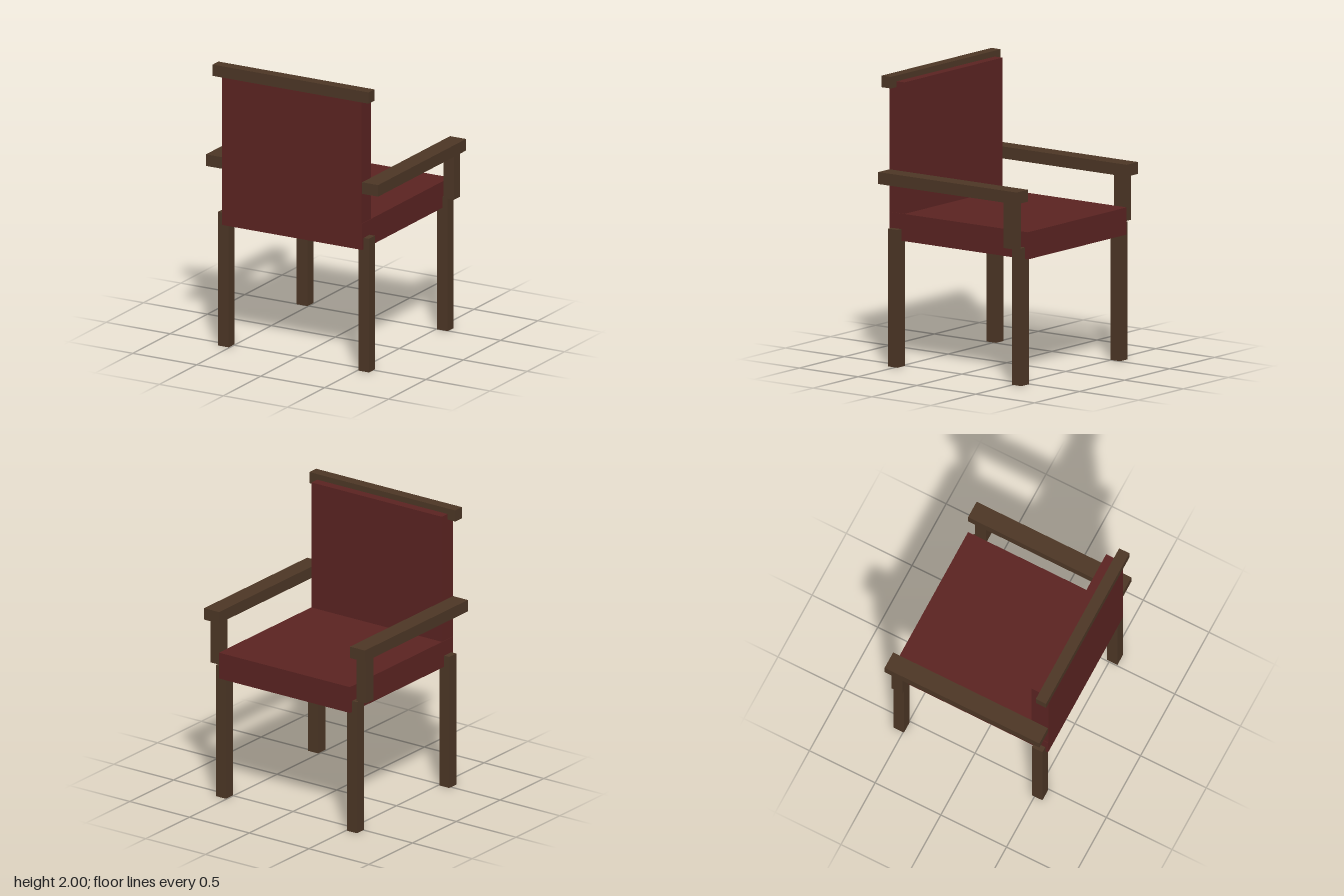
import * as THREE from 'three';

const wood = new THREE.MeshStandardMaterial({ color: 0x4c3625 });
const fabric = new THREE.MeshStandardMaterial({ color: 0x5a2321 });

// Box given by its [min, max] range on each axis
function block(name, material, [x0, x1], [y0, y1], [z0, z1]) {
  const mesh = new THREE.Mesh(new THREE.BoxGeometry(x1 - x0, y1 - y0, z1 - z0), material);
  mesh.position.set((x0 + x1) / 2, (y0 + y1) / 2, (z0 + z1) / 2);
  mesh.name = name;
  return mesh;
}

export function createModel() {
  const chair = new THREE.Group();
  chair.name = 'armchair';

  // Upholstery: the seat opens toward -z, the backrest stands on its +z end
  chair.add(
    block('seat', fabric, [-0.548, 0.548], [0.868, 1.055], [-0.598, 0.581]),
    block('backrest', fabric, [-0.545, 0.545], [1.055, 1.96], [0.455, 0.581]),
    block('topRail', wood, [-0.61, 0.61], [1.92, 2], [0.52, 0.598])
  );

  // Legs, arm posts and armrests on both sides
  for (const [side, s] of [['left', 1], ['right', -1]]) {
    const span = (a, b) => (s > 0 ? [a, b] : [-b, -a]);
    chair.add(
      block(side + 'BackLeg', wood, span(0.507, 0.59), [0, 0.948], [0.479, 0.56]),
      block(side + 'FrontLeg', wood, span(0.507, 0.59), [0, 0.948], [-0.575, -0.494]),
      block(side + 'ArmPost', wood, span(0.57, 0.652), [0.948, 1.268], [-0.555, -0.472]),
      block(side + 'Armrest', wood, span(0.548, 0.673), [1.266, 1.348], [-0.598, 0.58])
    );
  }
  return chair;
}
